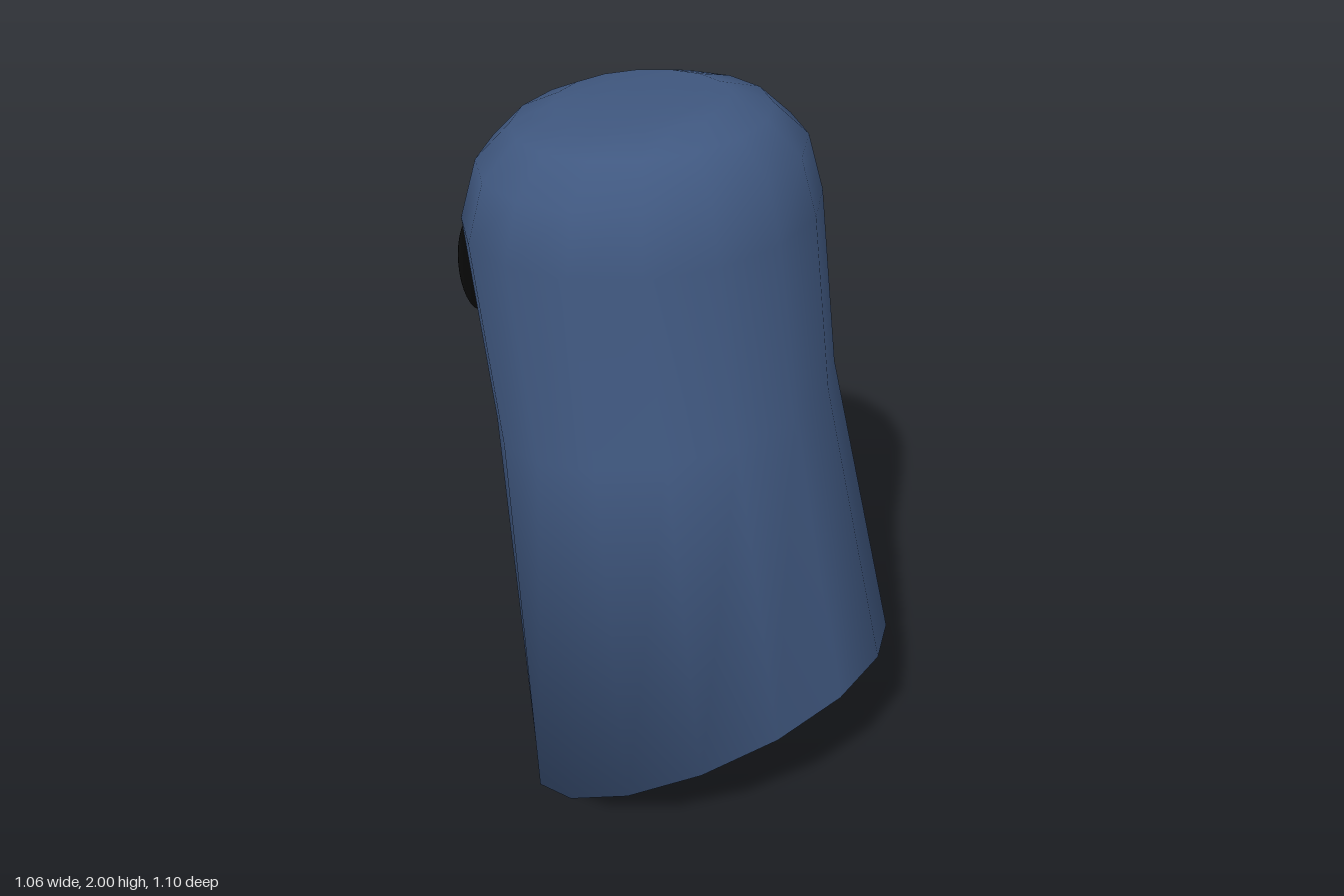
import * as THREE from 'three';

const SIDES = 16;

// Cross-sections from the hem up: [x radius, front z, front y, back z, back y]
const RINGS = [
  [0.53, 0.55, 0.58, -0.345, 0.0],
  [0.425, 0.355, 1.34, -0.475, 1.13],
  [0.42, 0.29, 1.765, -0.548, 1.68],
  [0.38, 0.25, 1.9, -0.5, 1.83],
  [0.295, 0.17, 1.975, -0.42, 1.915],
  [0.19, 0.08, 2.0, -0.33, 1.96],
];

// Smooth closed skin through the tilted rings, capped at both ends
function loftGeometry(rings) {
  const positions = [];
  const index = [];
  for (const [rx, zFront, yFront, zBack, yBack] of rings) {
    for (let i = 0; i < SIDES; i++) {
      const a = (i / SIDES) * Math.PI * 2;
      const t = (1 - Math.cos(a)) / 2; // 0 at the front, 1 at the back
      positions.push(
        rx * Math.sin(a),
        THREE.MathUtils.lerp(yFront, yBack, t),
        THREE.MathUtils.lerp(zFront, zBack, t)
      );
    }
  }
  for (let r = 0; r < rings.length - 1; r++) {
    for (let i = 0; i < SIDES; i++) {
      const j = (i + 1) % SIDES;
      const a = r * SIDES + i;
      const b = r * SIDES + j;
      index.push(a, b, b + SIDES, a, b + SIDES, a + SIDES);
    }
  }
  // Caps run in strips from front to back, joining left and right vertices
  const cap = (start, up) => {
    const tri = (a, b, c) =>
      up ? index.push(start + a, start + b, start + c) : index.push(start + a, start + c, start + b);
    for (let k = 0; k < SIDES / 2; k++) {
      const l0 = k;
      const l1 = k + 1;
      const r0 = (SIDES - k) % SIDES;
      const r1 = SIDES - k - 1;
      if (l0 !== r0) tri(l0, l1, r0);
      if (l1 !== r1) tri(l1, r1, r0);
    }
  };
  cap(0, false);
  cap((rings.length - 1) * SIDES, true);

  const geometry = new THREE.BufferGeometry();
  geometry.setAttribute('position', new THREE.Float32BufferAttribute(positions, 3));
  geometry.setIndex(index);
  geometry.computeVertexNormals();
  return geometry;
}

export function createModel() {
  const group = new THREE.Group();
  group.name = 'hoodedFigure';

  // Leaning body with a slanted hem and rounded crown
  const body = new THREE.Mesh(
    loftGeometry(RINGS),
    new THREE.MeshStandardMaterial({ color: 0x405880 })
  );
  body.name = 'body';
  group.add(body);

  // Flat oval eyes on the back-facing side, following the lean of the body
  const eyeMaterial = new THREE.MeshStandardMaterial({ color: 0x0a0a0a });
  const eyeGeometry = new THREE.SphereGeometry(1, 24, 16);
  for (const side of [1, -1]) {
    const eye = new THREE.Mesh(eyeGeometry, eyeMaterial);
    eye.name = side > 0 ? 'leftEye' : 'rightEye';
    eye.scale.set(0.07, 0.125, 0.012);
    eye.position.set(0.2 * side, 1.505, -0.503);
    eye.rotation.set(-0.1, -0.2 * side, 0);
    group.add(eye);
  }

  return group;
}
